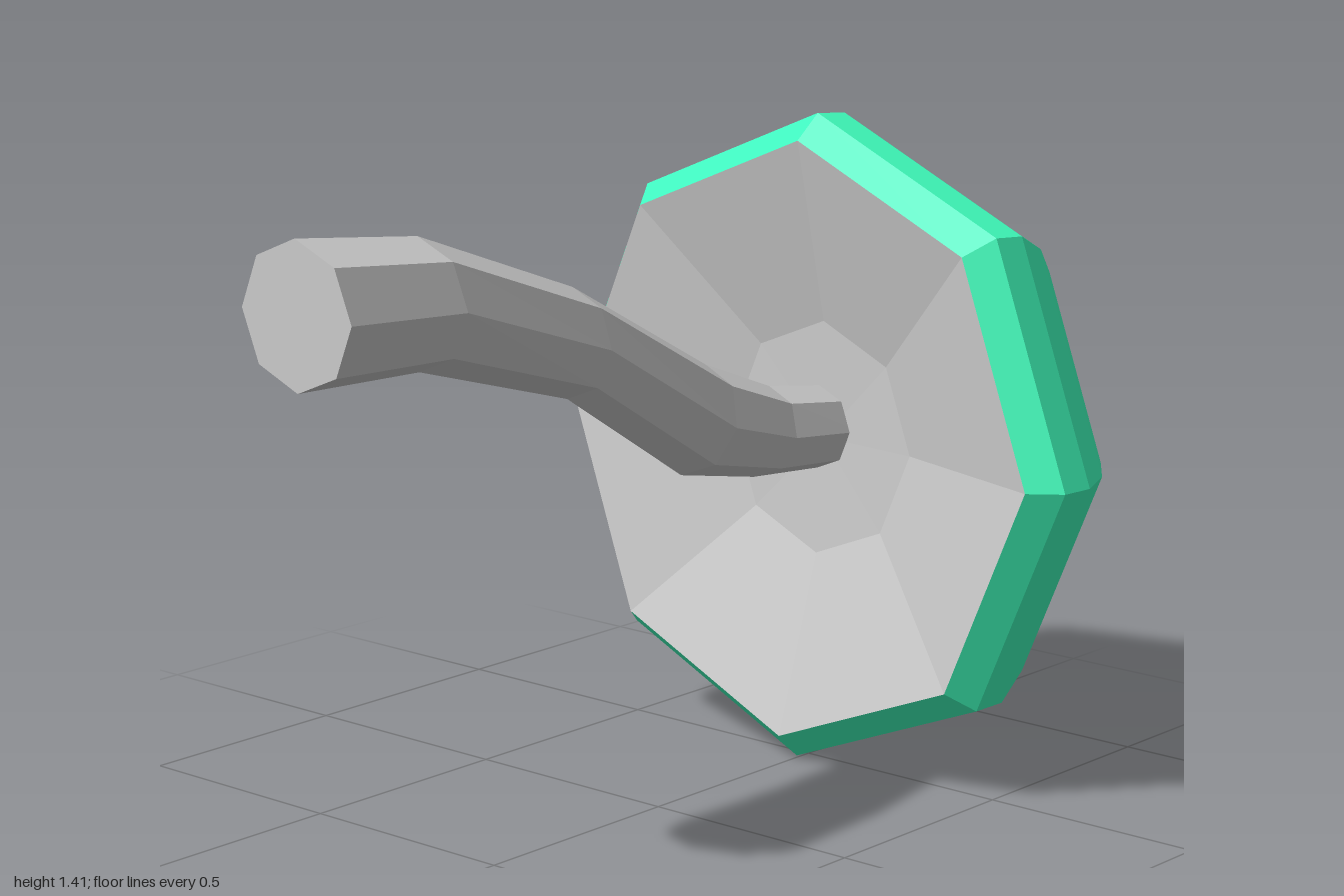
import * as THREE from 'three';

const SIDES = 8;
const grey = new THREE.MeshStandardMaterial({ color: 0xcccccc, flatShading: true });
const green = new THREE.MeshStandardMaterial({ color: 0x40ffbe, flatShading: true });

// Lathed eight-sided shell from [radius, height] pairs, its axis turned to -z
function shell(name, profile, material) {
  const points = profile.map(([r, h]) => new THREE.Vector2(r, h));
  const geometry = new THREE.LatheGeometry(points, SIDES).rotateX(-Math.PI / 2);
  const mesh = new THREE.Mesh(geometry, material);
  mesh.name = name;
  return mesh;
}

// Bent, tapering stalk: rings of [x, y, z, radius, tilt], running front to back
function stalk(rings) {
  const positions = [];
  const index = [];
  for (const [x, y, z, r, tilt] of rings) {
    for (let j = 0; j < SIDES; j++) {
      const a = (j / SIDES) * Math.PI * 2;
      const up = r * Math.sin(a);
      positions.push(x + r * Math.cos(a), y + up * Math.cos(tilt), z - up * Math.sin(tilt));
    }
  }
  for (let i = 0; i < rings.length - 1; i++) {
    for (let j = 0; j < SIDES; j++) {
      const k = (j + 1) % SIDES;
      const a = i * SIDES;
      const b = a + SIDES;
      index.push(a + j, b + j, a + k, a + k, b + j, b + k);
    }
  }
  // Flat cut end at the front
  for (let j = 1; j < SIDES - 1; j++) index.push(0, j, j + 1);

  const geometry = new THREE.BufferGeometry();
  geometry.setAttribute('position', new THREE.Float32BufferAttribute(positions, 3));
  geometry.setIndex(index);
  geometry.computeVertexNormals();
  const mesh = new THREE.Mesh(geometry, grey);
  mesh.name = 'stem';
  return mesh;
}

export function createModel() {
  const model = new THREE.Group();
  model.name = 'mushroom';

  // Cap: hollow underside and faceted dome, slightly tilted
  const cap = new THREE.Group();
  cap.name = 'cap';
  cap.add(
    shell('capUnderside', [[0, 0.11], [0.255, 0.1], [0.65, 0]], grey),
    shell('capDome', [
      [0.65, 0], [0.705, 0.06], [0.7, 0.145], [0.64, 0.26],
      [0.545, 0.375], [0.4, 0.475], [0.175, 0.55], [0, 0.55],
    ], green),
  );
  cap.position.set(-0.012, 0.705, -0.435);
  cap.scale.x = 1.015;
  cap.quaternion.setFromUnitVectors(
    new THREE.Vector3(0, 0, -1),
    new THREE.Vector3(0.07, -0.035, -1).normalize(),
  );
  model.add(cap);

  // Stem, curving up and forward out of the cap
  model.add(stalk([
    [-0.012, 1.19, 1.0, 0.146, 0],
    [-0.012, 1.167, 0.68, 0.132, 0],
    [-0.02, 1.025, 0.245, 0.113, 0.08],
    [-0.025, 0.803, -0.14, 0.118, 0.34],
    [-0.02, 0.743, -0.355, 0.098, 0.25],
    [-0.015, 0.72, -0.57, 0.09, 0],
  ]));

  return model;
}
